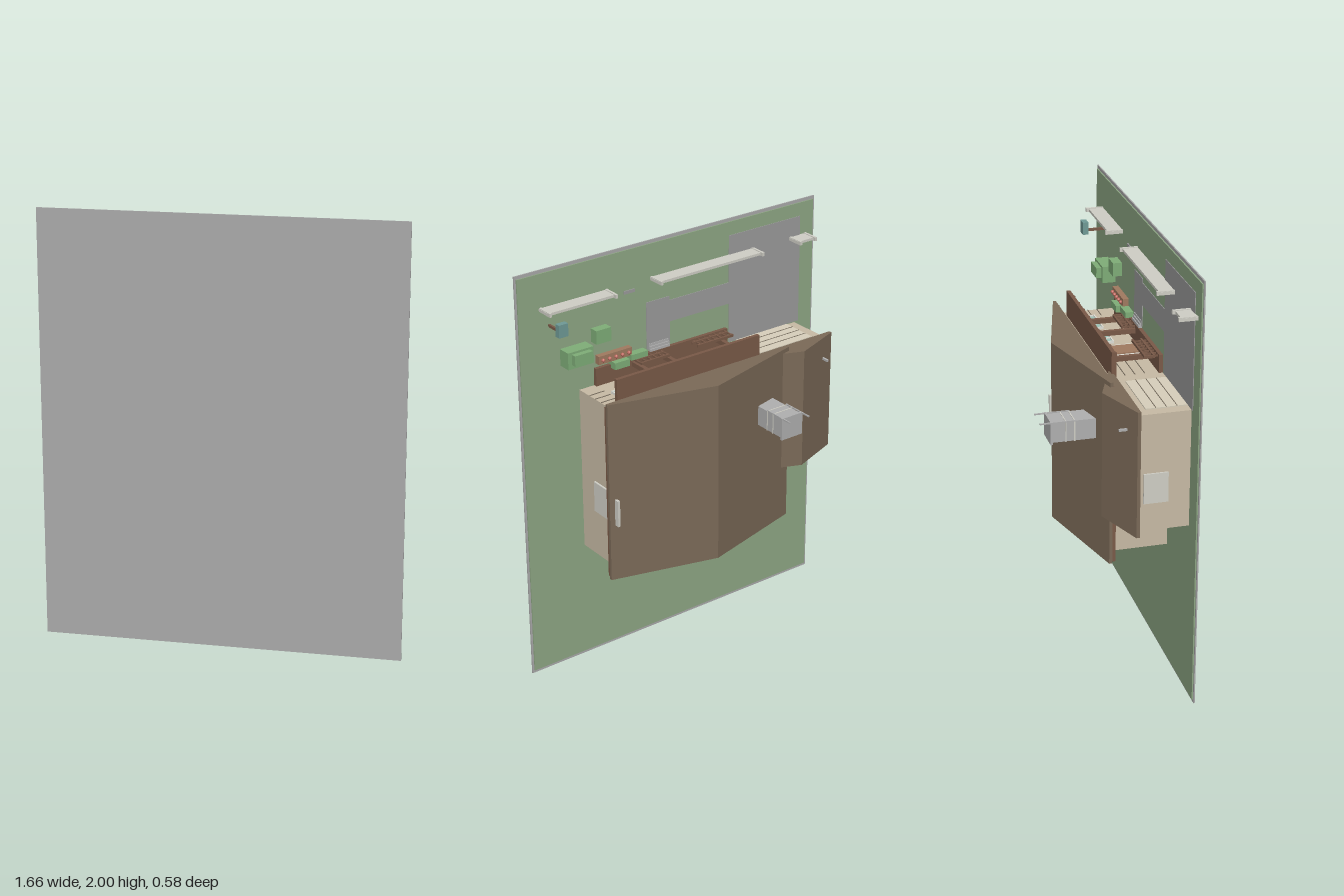
import * as THREE from 'three';

const C = {
  slab: 0xaaaaaa, grass: 0x8fa885, paving: 0x9c9c9c, wall: 0xc8bba5, trim: 0xd8d0bc, roof: 0x7b6a58,
  wood: 0x7a5a48, door: 0xa07a60, glass: 0x9fc4b8, frame: 0xe0e0d8, stone: 0xd0cfc6,
  brick: 0xb0b0b0, leaf: 0x7fae78, bloom: 0xc06a60, metal: 0x6f9a96, groove: 0x7d7263,
};
const mats = {};
const mat = (c) => (mats[c] ??= new THREE.MeshStandardMaterial({ color: C[c], flatShading: true }));

export function createModel() {
  const root = new THREE.Group();
  root.name = 'house';
  // The house is laid out upright (x, height, depth) and then tipped on its back.
  const house = new THREE.Group();
  house.name = 'houseAndGarden';
  house.rotation.x = -Math.PI / 2;
  house.position.z = 0.29;
  root.add(house);

  // Box from x, height and depth ranges
  function box(name, color, x0, x1, h0, h1, d0, d1) {
    const m = new THREE.Mesh(new THREE.BoxGeometry(x1 - x0, h1 - h0, d1 - d0), mat(color));
    m.position.set((x0 + x1) / 2, (h0 + h1) / 2, (d0 + d1) / 2);
    m.name = name;
    house.add(m);
    return m;
  }

  // Triangular roof with its ridge running front to back
  function gable(name, x0, x1, ridgeX, base, top, d0, d1) {
    const s = new THREE.Shape([
      new THREE.Vector2(x0, base), new THREE.Vector2(x1, base), new THREE.Vector2(ridgeX, top),
    ]);
    const g = new THREE.ExtrudeGeometry(s, { depth: d1 - d0, bevelEnabled: false });
    const m = new THREE.Mesh(g, mat('roof'));
    m.position.z = d0;
    m.name = name;
    house.add(m);
  }

  // Window on a front (dir 1) or back (dir -1) wall
  function windowAt(name, x0, x1, h0, h1, d, dir, bars) {
    const slice = (n, c, a, b, e, f, t) =>
      box(n, c, a, b, e, f, Math.min(d, d + dir * t), Math.max(d, d + dir * t));
    slice(name + 'Glass', 'glass', x0, x1, h0, h1, 0.006);
    for (const h of [h0, (h0 + h1) / 2, h1]) {
      slice(name + 'Rail', 'frame', x0 - 0.004, x1 + 0.004, h - 0.003, h + 0.003, 0.012);
    }
    for (let i = 0; i <= bars; i++) {
      const x = x0 + ((x1 - x0) * i) / bars;
      slice(name + 'Mullion', 'frame', x - 0.003, x + 0.003, h0, h1, 0.011);
    }
  }

  // Ground
  box('baseSlab', 'slab', -0.83, 0.83, 0, 0.006, 0, 2);
  box('lawn', 'grass', -0.82, 0.82, 0.006, 0.012, 0.015, 1.985);
  box('driveway', 'paving', -0.74, -0.32, 0.012, 0.015, 1.39, 1.92);
  box('gardenPath', 'paving', -0.32, 0.02, 0.012, 0.015, 1.585, 1.69);
  box('entryPath', 'paving', 0.02, 0.15, 0.012, 0.015, 1.48, 1.71);

  // Main house
  box('mainWalls', 'wall', -0.41, 0.52, 0.008, 0.29, 0.59, 1.385);
  box('mainEave', 'roof', -0.455, 0.565, 0.281, 0.295, 0.55, 1.43);
  gable('mainRoof', -0.455, 0.565, 0.06, 0.295, 0.43, 0.55, 1.43);
  for (const x of [-0.45, 0.555]) box('gutter', 'wood', x - 0.006, x + 0.006, 0.266, 0.281, 0.56, 1.41);
  for (let i = 0; i < 4; i++) {
    const h = 0.09 + i * 0.045;
    box('sidingGroove', 'groove', 0.44, 0.52, h, h + 0.003, 1.385, 1.388);
    box('sidingGroove', 'groove', -0.29, -0.1, h, h + 0.003, 1.385, 1.388);
  }

  // Garage
  box('garageWalls', 'wall', -0.72, -0.31, 0.008, 0.26, 0.838, 1.385);
  box('garageEave', 'roof', -0.745, -0.28, 0.24, 0.255, 0.82, 1.41);
  gable('garageRoof', -0.745, -0.28, -0.505, 0.255, 0.345, 0.82, 1.41);
  box('garageDoor', 'trim', -0.67, -0.36, 0.012, 0.2, 1.385, 1.39);
  for (let i = 1; i < 4; i++) box('garageDoorSeam', 'groove', -0.67, -0.36, 0.012 + i * 0.047, 0.015 + i * 0.047, 1.39, 1.392);

  // Front door and windows
  box('doorFrame', 'frame', -0.085, 0.05, 0.04, 0.222, 1.385, 1.392);
  box('frontDoor', 'door', -0.065, 0.03, 0.04, 0.21, 1.39, 1.398);
  windowAt('frontWindow', 0.09, 0.225, 0.13, 0.22, 1.385, 1, 3);
  windowAt('frontWindow', 0.27, 0.425, 0.13, 0.22, 1.385, 1, 3);

  // Back windows with sills
  for (const x of [-0.16, 0.08, 0.33]) {
    windowAt('backWindow', x - 0.075, x + 0.075, 0.125, 0.22, 0.59, -1, 3);
    box('backSill', 'wood', x - 0.085, x + 0.085, 0.065, 0.072, 0.583, 0.59);
  }

  // Side windows and the panel by the eave
  box('leftWindow', 'stone', 0.52, 0.53, 0.12, 0.235, 0.82, 0.97);
  box('eavePanel', 'stone', 0.53, 0.542, 0.236, 0.325, 0.83, 0.96);
  box('rightWindow', 'stone', -0.728, -0.72, 0.11, 0.22, 0.97, 1.11);
  box('garageVent', 'brick', -0.678, -0.668, 0.27, 0.318, 1.3, 1.31);

  // Chimney with cap, courses and two rods
  box('chimney', 'brick', -0.335, -0.228, 0.3, 0.525, 1.12, 1.215);
  box('chimneyCap', 'brick', -0.342, -0.223, 0.522, 0.533, 1.112, 1.22);
  for (const h of [0.42, 0.46]) box('chimneyCourse', 'stone', -0.337, -0.226, h, h + 0.005, 1.118, 1.217);
  for (const x of [-0.34, -0.23]) box('chimneyRod', 'brick', x - 0.003, x + 0.003, 0.42, 0.58, 1.214, 1.22);

  // Porch: deck, canopy, rafters, posts and railing
  box('porchDeck', 'wood', -0.3, 0.44, 0.012, 0.03, 1.385, 1.47);
  box('porchCanopy', 'wood', -0.315, 0.48, 0.232, 0.25, 1.385, 1.51);
  for (let i = 0; i < 9; i++) {
    const x = -0.29 + i * 0.09;
    box('rafter', 'wood', x - 0.006, x + 0.006, 0.222, 0.233, 1.385, 1.5);
  }
  for (const x of [-0.225, 0.08, 0.235]) box('porchPost', 'wood', x - 0.01, x + 0.01, 0.03, 0.233, 1.43, 1.452);
  for (const [x0, x1] of [[-0.285, -0.08], [0.08, 0.235]]) {
    for (const h of [0.045, 0.085]) box('porchRail', 'wood', x0, x1, h, h + 0.009, 1.455, 1.467);
    for (let x = x0; x <= x1; x += 0.03) box('baluster', 'wood', x, x + 0.007, 0.03, 0.088, 1.457, 1.465);
  }
  for (let i = 0; i < 3; i++) box('porchStep', 'brick', 0.03, 0.14, 0.012, 0.028 - i * 0.005, 1.47, 1.482 + i * 0.012);

  // Flower box and low shrubs
  box('flowerBox', 'door', 0.25, 0.43, 0.012, 0.04, 1.49, 1.53);
  for (let i = 0; i < 5; i++) {
    const f = new THREE.Mesh(new THREE.SphereGeometry(0.009, 8, 6), mat('bloom'));
    f.position.set(0.27 + i * 0.035, 0.045, 1.51);
    f.name = 'flower';
    house.add(f);
  }
  box('lowShrub', 'leaf', 0.28, 0.36, 0.012, 0.065, 1.455, 1.488);
  box('lowShrub', 'leaf', 0.17, 0.26, 0.012, 0.05, 1.468, 1.495);

  // Hedge
  box('hedge', 'leaf', 0.48, 0.615, 0.012, 0.075, 1.53, 1.61);
  box('hedgeTop', 'leaf', 0.5, 0.595, 0.075, 0.1, 1.55, 1.6);
  box('hedgeSide', 'leaf', 0.37, 0.45, 0.012, 0.055, 1.6, 1.665);

  // Garden walls with end posts
  for (const [x0, x1] of [[-0.78, -0.675], [-0.465, 0.125], [0.355, 0.715]]) {
    box('gardenWall', 'stone', x0, x1, 0.012, 0.083, 1.815, 1.827);
    for (const x of [x0 + 0.008, x1 - 0.008]) box('wallPost', 'stone', x - 0.006, x + 0.006, 0.012, 0.095, 1.812, 1.83);
  }
  box('steppingStone', 'paving', 0.21, 0.27, 0.012, 0.017, 1.78, 1.795);

  // Mailbox
  box('mailboxPost', 'wood', 0.66, 0.67, 0.012, 0.1, 1.73, 1.742);
  box('mailbox', 'metal', 0.642, 0.69, 0.1, 0.127, 1.72, 1.78);

  return root;
}
